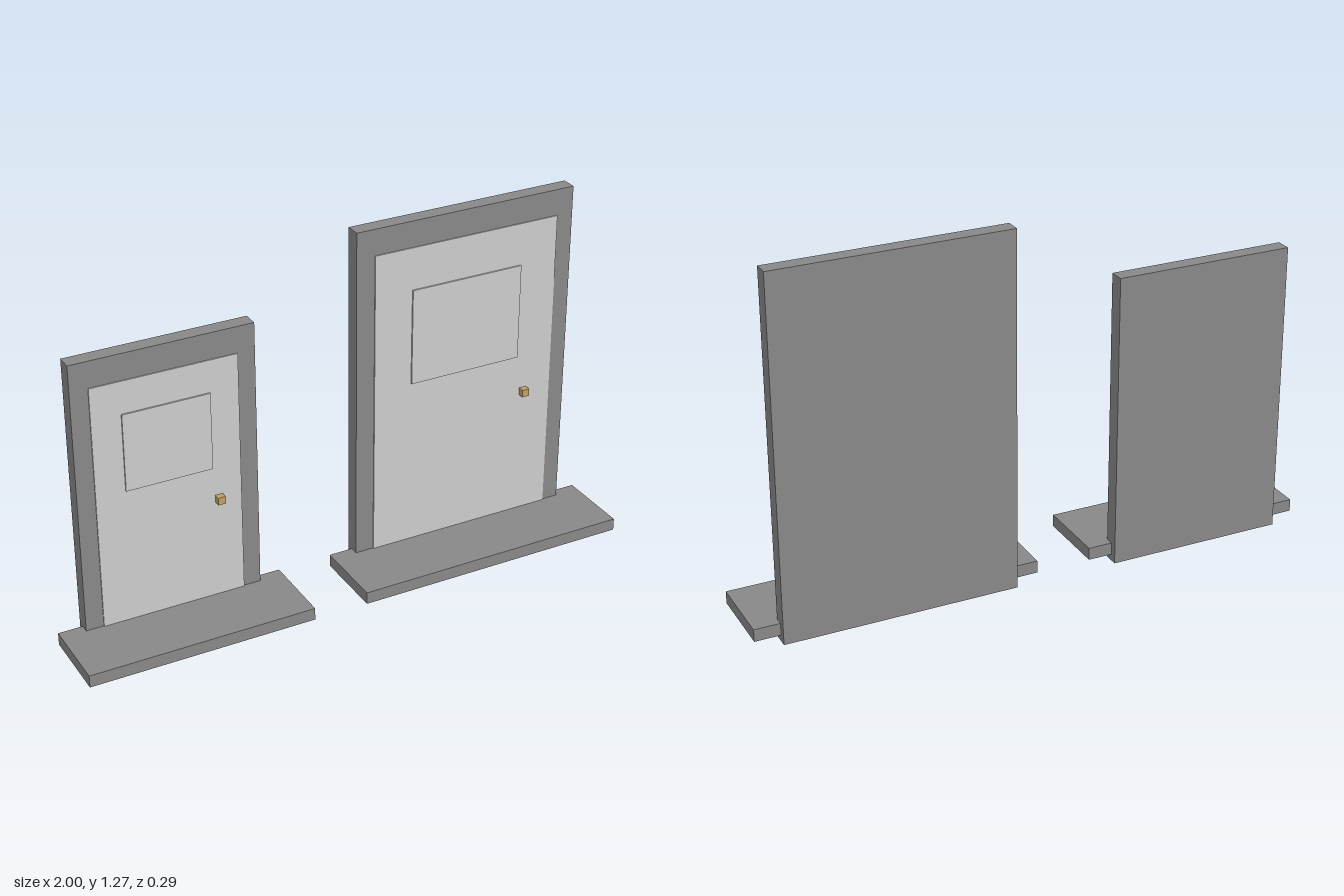
import * as THREE from 'three';

const stone = new THREE.MeshStandardMaterial({ color: 0x888888 });
stone.name = 'grey surround';
const paint = new THREE.MeshStandardMaterial({ color: 0xcccccc });
paint.name = 'light grey door';
const brass = new THREE.MeshStandardMaterial({ color: 0xc0a062 });
brass.name = 'brass';

// Box given by its limits on each axis
function box(name, material, [x0, x1], [y0, y1], [z0, z1]) {
  const mesh = new THREE.Mesh(new THREE.BoxGeometry(x1 - x0, y1 - y0, z1 - z0), material);
  mesh.position.set((x0 + x1) / 2, (y0 + y1) / 2, (z0 + z1) / 2);
  mesh.name = name;
  return mesh;
}

function doorway(name, d) {
  const group = new THREE.Group();
  group.name = name;
  const [kx, ky] = d.knob;
  const k = 0.0135;
  group.add(
    // Solid surround behind the door
    box('frame', stone, d.frameX, [0, d.frameTop], [-0.146, -0.091]),
    // Doorstep
    box('step', stone, d.stepX, [0.023, 0.067], [-0.122, 0.146]),
    // Door leaf, standing slightly proud of the frame
    box('door', paint, d.doorX, [0.05, d.doorTop], [-0.1, -0.087]),
    // Raised upper panel
    box('panel', paint, d.panelX, d.panelY, [-0.09, -0.081]),
    // Square knob
    box('knob', brass, [kx - k, kx + k], [ky - k, ky + k], [-0.091, -0.064])
  );
  return group;
}

export function createModel() {
  const model = new THREE.Group();
  model.name = 'doorways';
  model.add(
    doorway('smallDoorway', {
      frameX: [-0.914, -0.282], frameTop: 1.04, stepX: [-1, -0.196],
      doorX: [-0.852, -0.344], doorTop: 0.947,
      panelX: [-0.75, -0.446], panelY: [0.555, 0.832], knob: [-0.426, 0.437]
    }),
    doorway('largeDoorway', {
      frameX: [0.086, 0.91], frameTop: 1.27, stepX: [0, 1],
      doorX: [0.153, 0.849], doorTop: 1.177,
      panelX: [0.292, 0.71], panelY: [0.68, 1.026], knob: [0.74, 0.541]
    })
  );
  return model;
}
